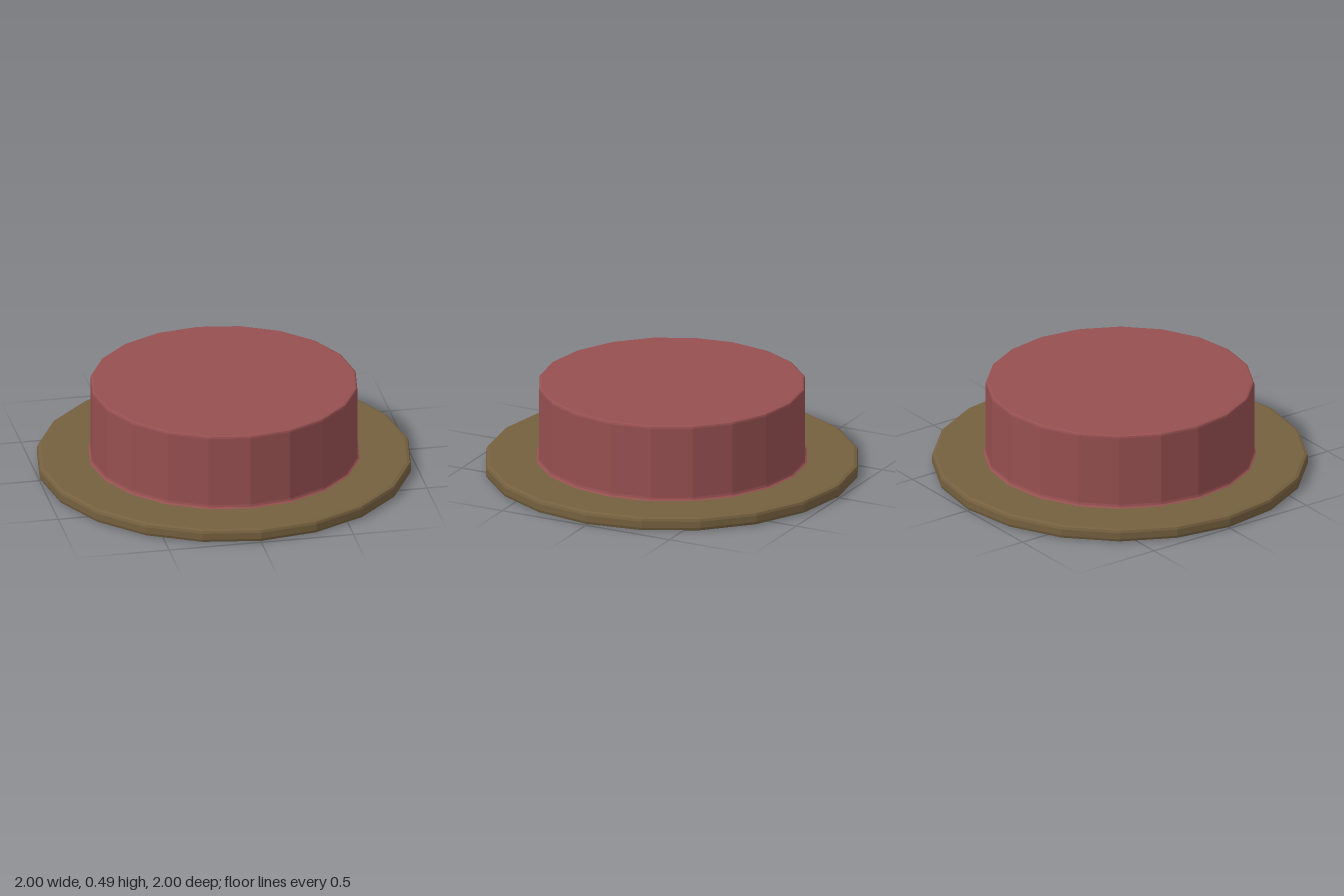
import * as THREE from 'three';

const SIDES = 20;

// Faceted turned part from a [radius, height] profile, listed bottom to top
function turned(name, color, profile) {
  const points = profile.map(([r, y]) => new THREE.Vector2(r, y));
  const material = new THREE.MeshStandardMaterial({ color, flatShading: true });
  const mesh = new THREE.Mesh(new THREE.LatheGeometry(points, SIDES), material);
  mesh.name = name;
  return mesh;
}

export function createModel() {
  const group = new THREE.Group();
  group.name = 'roundButton';

  // Wide base disc with bevelled rim, open only beneath the cap
  group.add(turned('base', 0x75603f, [
    [0, 0], [0.98, 0], [0.995, 0.006], [1, 0.02],
    [1, 0.055], [0.995, 0.068], [0.98, 0.074], [0.72, 0.074],
  ]));

  // Raised cap with a small flare at its foot and a bevelled top edge
  group.add(turned('cap', 0x964f50, [
    [0.726, 0.074], [0.717, 0.08], [0.714, 0.092],
    [0.714, 0.478], [0.711, 0.488], [0.702, 0.492], [0, 0.492],
  ]));

  return group;
}
